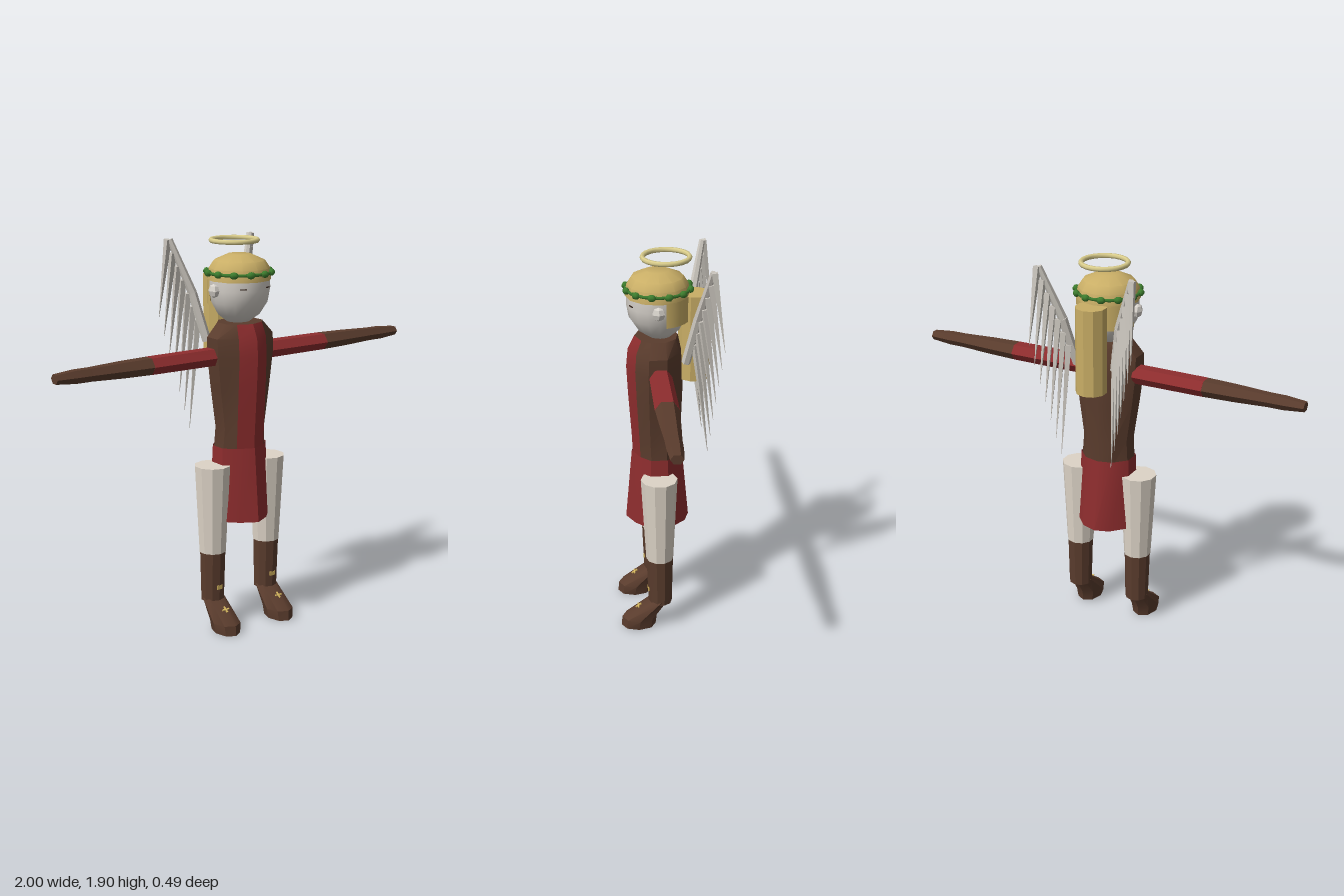
import * as THREE from 'three';
import { toCreasedNormals } from 'three/addons/utils/BufferGeometryUtils.js';

const mat = (name, color, side = THREE.FrontSide) => {
  const m = new THREE.MeshStandardMaterial({ color, side });
  m.name = name;
  return m;
};

// Elliptical cross-section at height y, listed from +z round to +x.
function ring(y, cx, cz, rx, rz, sides) {
  return Array.from({ length: sides }, (_, j) => {
    const a = (j / sides) * Math.PI * 2;
    return [cx + Math.sin(a) * rx, y, cz + Math.cos(a) * rz];
  });
}

// Skin over cross-sections from bottom to top; keep(j) picks which strips to build.
function loft(rings, { caps = true, keep = () => true, crease = 0.6 } = {}) {
  const n = rings[0].length;
  const pos = rings.flat(2);
  const idx = [];
  for (let i = 0; i < rings.length - 1; i++) {
    for (let j = 0; j < n; j++) {
      if (!keep(j)) continue;
      const a = i * n + j, b = i * n + (j + 1) % n;
      idx.push(a, b, b + n, a, b + n, a + n);
    }
  }
  if (caps) {
    const top = (rings.length - 1) * n;
    for (let j = 1; j < n - 1; j++) idx.push(0, j + 1, j, top, top + j, top + j + 1);
  }
  const g = new THREE.BufferGeometry();
  g.setAttribute('position', new THREE.Float32BufferAttribute(pos, 3));
  g.setIndex(idx);
  return toCreasedNormals(g, crease);
}

export function createModel() {
  const root = new THREE.Group();
  root.name = 'wingedFigure';

  const skin = mat('skin', 0xd6d1ca);
  const trousers = mat('trousers', 0xddd4c7);
  const red = mat('redCloth', 0x8e2d2e, THREE.DoubleSide);
  const brown = mat('brownLeather', 0x5a3c2d);
  const hair = mat('hair', 0xc9ae66, THREE.DoubleSide);
  const halo = mat('halo', 0xddd08e);
  const green = mat('wreath', 0x3d7d2e);
  const feather = mat('feather', 0xcbc6be);
  const buckle = mat('buckle', 0xd6b75f);
  const dark = mat('eye', 0x3a2a22);

  const add = (name, geo, material, x = 0, y = 0, z = 0, parent = root) => {
    const m = new THREE.Mesh(geo, material);
    m.name = name;
    m.position.set(x, y, z);
    parent.add(m);
    return m;
  };

  // Torso: front strips are red, the rest brown
  const torsoRing = ([y, w, zf, zb]) => {
    const mid = (zf + zb) / 2, d = (zf - zb) / 2, k = Math.min(0.08, w * 0.68);
    const half = [[k, mid + d * 0.72], [w, mid + d * 0.3], [w, mid - d * 0.35], [k * 0.9, mid - d * 0.85]];
    return [[0, y, zf], ...half.map(([x, z]) => [x, y, z]), [0, y, zb],
      ...half.reverse().map(([x, z]) => [-x, y, z])];
  };
  const torso = [
    [0.88, 0.125, 0.172, -0.062], [1.0, 0.117, 0.178, -0.06], [1.2, 0.145, 0.192, -0.068],
    [1.35, 0.162, 0.2, -0.073], [1.44, 0.163, 0.192, -0.068], [1.505, 0.108, 0.16, -0.045],
  ].map(torsoRing);
  const isFront = (j) => j === 0 || j === 9;
  add('torsoFront', loft(torso, { caps: false, keep: isFront }), red);
  add('torso', loft(torso, { keep: (j) => !isFront(j) }), brown);

  // Open skirt
  add('skirt', loft([
    torsoRing([0.54, 0.142, 0.21, -0.1]),
    torsoRing([0.905, 0.13, 0.178, -0.067]),
  ], { caps: false }), red);

  // Head, hair and face
  add('head', loft([
    [1.505, 0.055, 0.04], [1.54, 0.1, 0.045], [1.6, 0.135, 0.05], [1.66, 0.146, 0.05], [1.72, 0.145, 0.05],
  ].map(([y, r, z]) => ring(y, 0, z, r, r, 16)), { crease: 0.9 }), skin);
  add('hairCap', loft([
    [1.705, 0.152], [1.76, 0.145], [1.795, 0.122], [1.825, 0.055],
  ].map(([y, r]) => ring(y, 0, 0.05, r, r, 12))), hair);
  add('hairBack', new THREE.CylinderGeometry(0.152, 0.152, 0.12, 12, 1, true, 1.77, 2.74), hair, 0, 1.65, 0.05);
  add('hairTail', loft([1.29, 1.71].map((y) => ring(y, 0, -0.122, 0.075, 0.075, 10))), hair);

  // Halo
  add('halo', new THREE.TorusGeometry(0.11, 0.012, 6, 20), halo, 0, 1.885, 0.01).rotation.x = Math.PI / 2;

  // Wreath: thin ring with buds
  add('wreathRing', new THREE.TorusGeometry(0.152, 0.008, 5, 12), green, 0, 1.74, 0.048).rotation.x = Math.PI / 2;
  for (let i = 0; i < 12; i++) {
    const a = ((i + 0.5) / 12) * Math.PI * 2;
    const bud = add('wreathBud', new THREE.SphereGeometry(0.017, 6, 5), green,
      Math.sin(a) * 0.155, 1.74, 0.048 + Math.cos(a) * 0.155);
    bud.rotation.y = a;
    bud.scale.x = 1.3;
  }

  // A tapered spike from one point to another
  const up = new THREE.Vector3(0, 1, 0);
  const spike = (name, from, to, r0, r1, sides, parent) => {
    const dir = to.clone().sub(from);
    const m = add(name, toCreasedNormals(new THREE.CylinderGeometry(r1, r0, dir.length(), sides), 0.5), feather,
      0, 0, 0, parent);
    m.position.copy(from).addScaledVector(dir, 0.5);
    m.quaternion.setFromUnitVectors(up, dir.normalize());
  };

  for (const s of [1, -1]) {
    const side = s > 0 ? 'left' : 'right';
    const group = (name) => {
      const g = new THREE.Group();
      g.name = side + name;
      root.add(g);
      return g;
    };

    // Ear and eye
    const ear = add(side + 'Ear', toCreasedNormals(new THREE.SphereGeometry(0.033, 6, 4), 0.3), skin, s * 0.15, 1.662, 0.055);
    ear.scale.x = 0.75;
    const eye = add(side + 'Eye', new THREE.BoxGeometry(0.03, 0.005, 0.004), dark, s * 0.07, 1.675, 0.178);
    eye.rotation.y = s * 0.45;

    // Arm: red sleeve, brown forearm and hand
    const arm = group('Arm');
    const armPart = (name, rows, material) => {
      const g = loft(rows.map(([x, ry, rz]) => ring(x, 0, 0, ry, rz, 6)), { crease: 0.3 });
      g.rotateZ(-s * Math.PI / 2);
      add(name, g, material, 0, 1.35, 0.047, arm);
    };
    armPart('sleeve', [[0.15, 0.046, 0.054], [0.51, 0.044, 0.056]], red);
    armPart('forearm', [[0.51, 0.044, 0.055], [0.66, 0.041, 0.048], [0.822, 0.034, 0.038]], brown);
    armPart('hand', [[0.822, 0.034, 0.038], [0.9, 0.034, 0.037], [1.0, 0.024, 0.03]], brown);

    // Leg and boot
    const leg = group('Leg');
    const x = s * 0.163;
    add('trouserLeg', loft([
      ring(0.385, x, 0.055, 0.067, 0.067, 10), ring(0.822, x, 0.057, 0.089, 0.089, 10),
    ]), trousers, 0, 0, 0, leg);
    add('bootShaft', loft([
      ring(0.135, x, 0.053, 0.058, 0.058, 10), ring(0.39, x, 0.055, 0.064, 0.066, 10),
    ]), brown, 0, 0, 0, leg);
    add('bootFoot', loft([
      ring(0, x, 0.163, 0.06, 0.086, 8), ring(0.05, x, 0.158, 0.068, 0.087, 8),
      ring(0.15, x, 0.055, 0.06, 0.045, 8),
    ]), brown, 0, 0, 0, leg);
    add('shaftBuckle', new THREE.BoxGeometry(0.03, 0.02, 0.006), buckle, x, 0.21, 0.112, leg);
    for (const [w, d] of [[0.038, 0.007], [0.007, 0.035]]) {
      add('footBuckle', new THREE.BoxGeometry(w, 0.006, d), buckle, x, 0.11, 0.163, leg).rotation.x = 0.61;
    }

    // Wing: two-piece bone with a row of hanging feathers
    const wing = group('Wing');
    const v = (px, py, pz) => new THREE.Vector3(s * px, py, pz);
    const base = v(0.1, 1.4, -0.075), elbow = v(0.148, 1.63, -0.125), tip = v(0.237, 1.885, -0.182);
    spike('wingBase', base, elbow, 0.022, 0.022, 6, wing);
    spike('wingBone', elbow, tip, 0.022, 0.014, 6, wing);
    const count = 7;
    for (let i = 0; i < count; i++) {
      const t = i / (count - 1);
      const from = v(0.243, 1.885, -0.187).lerp(v(0.125, 1.5, -0.115), t);
      const to = v(0.266, 1.51, -0.238).lerp(v(0.135, 0.95, -0.178), t);
      spike('feather', from, to, 0.02, 0.001, 4, wing);
    }
  }

  return root;
}
